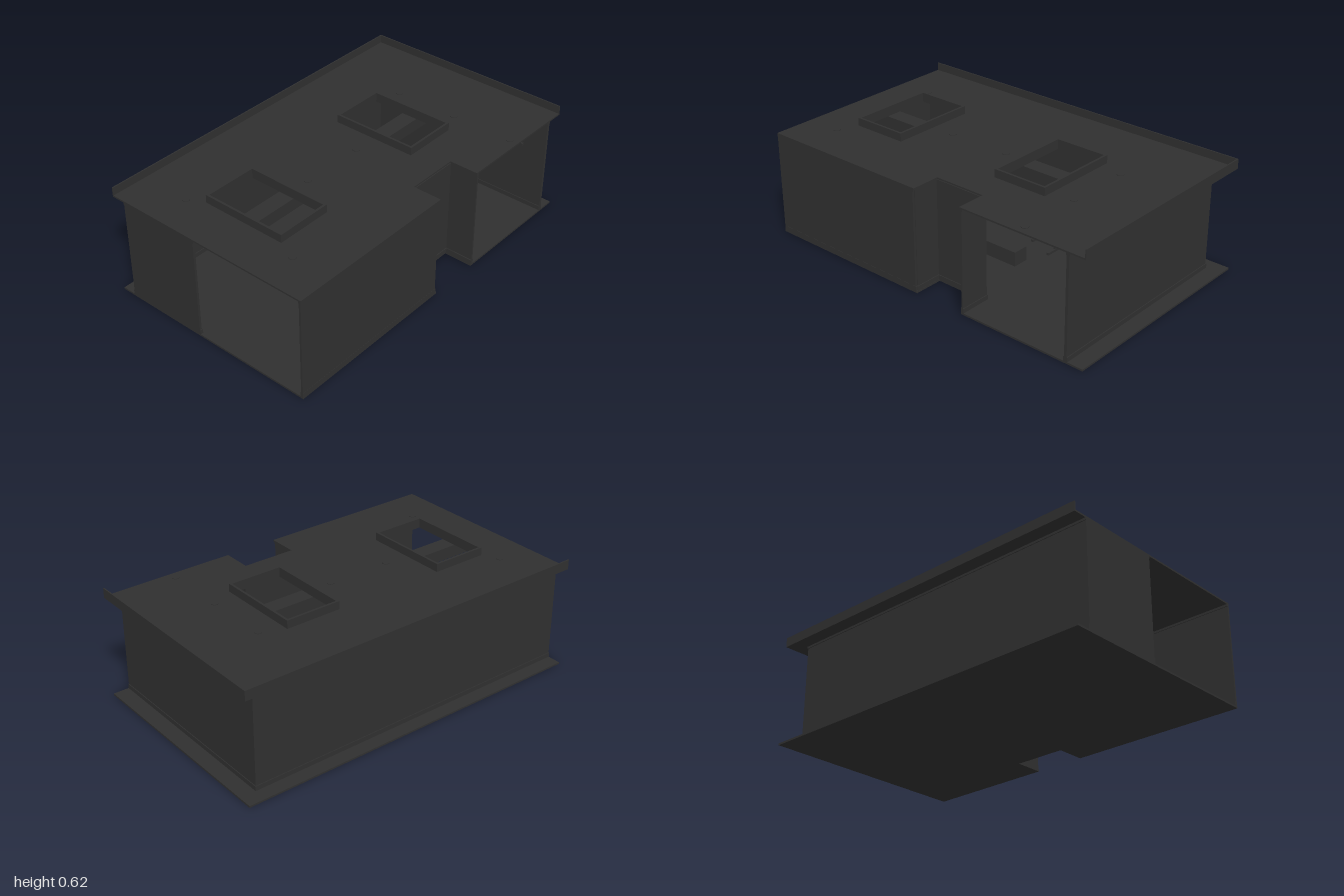
import * as THREE from 'three';

export function createModel() {
  const model = new THREE.Group();
  const charcoal = new THREE.MeshStandardMaterial({ color: 0x303030 });
  charcoal.name = 'charcoal';

  const add = (name, geometry, parent = model) => {
    const mesh = new THREE.Mesh(geometry, charcoal);
    mesh.name = name;
    parent.add(mesh);
    return mesh;
  };
  // Box given by its limits on each axis
  const block = (name, x0, x1, y0, y1, z0, z1, parent) => {
    const mesh = add(name, new THREE.BoxGeometry(x1 - x0, y1 - y0, z1 - z0), parent);
    mesh.position.set((x0 + x1) / 2, (y0 + y1) / 2, (z0 + z1) / 2);
    return mesh;
  };

  // Skylight openings, as x limits
  const skylights = [[-0.755, -0.445], [0.185, 0.495]];
  const Z0 = -0.22, Z1 = 0.26;

  // Slab with the entrance notch cut from its front edge
  const slab = (name, y, thickness, holes) => {
    const outline = [[-1, -0.6], [-0.02, -0.6], [-0.02, -0.44], [0.27, -0.44],
      [0.27, -0.6], [1, -0.6], [1, 0.6], [-1, 0.6]];
    const shape = new THREE.Shape(outline.map(p => new THREE.Vector2(...p)));
    for (const [a, b] of holes) {
      shape.holes.push(new THREE.Path([[a, -Z1], [a, -Z0], [b, -Z0], [b, -Z1]]
        .map(p => new THREE.Vector2(...p))));
    }
    const geometry = new THREE.ExtrudeGeometry(shape, { depth: thickness, bevelEnabled: false });
    geometry.rotateX(-Math.PI / 2);
    add(name, geometry).position.y = y;
  };
  slab('floor', 0, 0.01, []);
  slab('roof', 0.562, 0.009, skylights);

  // Walls, each with a base and a top rail standing slightly proud
  const wall = (name, x0, x1, z0, z1) => {
    const group = new THREE.Group();
    group.name = name;
    block(name + 'Panel', x0, x1, 0.01, 0.562, z0, z1, group);
    const e = 0.004;
    const limit = v => Math.min(v + e, 1);
    for (const [y0, y1] of [[0.01, 0.035], [0.55, 0.562]]) {
      block(name + 'Rail', Math.max(x0 - e, -1), limit(x1), y0, y1, z0 - e, Math.min(z1 + e, 0.6), group);
    }
    model.add(group);
  };
  wall('backWall', -1, 0.91, -0.522, -0.507);
  wall('leftWall', 0.895, 0.91, -0.507, 0.6);
  wall('rightWall', -1, -0.988, -0.507, -0.06);
  wall('frontWall', -1, -0.03, 0.588, 0.599);
  wall('entranceRightWall', -0.037, -0.025, 0.43, 0.588);
  wall('entranceBackWall', -0.025, 0.275, 0.43, 0.44);
  wall('entranceLeftWall', 0.275, 0.284, 0.43, 0.6);

  // Raised lip on the two overhanging roof edges
  block('backRoofLip', -1, 1, 0.568, 0.615, -0.6, -0.594);
  block('leftRoofLip', 0.994, 1, 0.568, 0.615, -0.594, 0.6);

  // Raised curbs around the skylights
  const t = 0.012;
  for (const [a, b] of skylights) {
    const curb = new THREE.Group();
    curb.name = 'skylightCurb';
    block('curbSide', a, a + t, 0.562, 0.615, Z0, Z1, curb);
    block('curbSide', b - t, b, 0.562, 0.615, Z0, Z1, curb);
    block('curbEnd', a + t, b - t, 0.562, 0.615, Z0, Z0 + t, curb);
    block('curbEnd', a + t, b - t, 0.562, 0.615, Z1 - t, Z1, curb);
    model.add(curb);
  }

  // Beam running under the roof, below both skylights
  block('ceilingBeam', -0.9, 0.75, 0.495, 0.562, -0.03, 0.06);

  // Low box on the floor behind the entrance
  block('floorBox', -0.1, 0.18, 0.01, 0.09, 0.01, 0.1);

  // Small round roof fittings
  const fittings = [[-0.8, -0.31], [-0.8, 0.37], [0.62, -0.16], [0.62, 0.2],
    [0.62, 0.55], [-0.31, 0.02], [0.05, 0.02]];
  for (const [x, z] of fittings) {
    add('roofFitting', new THREE.CylinderGeometry(0.019, 0.019, 0.004, 16)).position.set(x, 0.572, z);
  }

  // Hanging rods near the open front
  for (const [x, z] of [[0.62, 0.45], [0.75, 0.5]]) {
    block('hangingRod', x - 0.003, x + 0.003, 0.48, 0.562, z - 0.003, z + 0.003);
    block('rodArm', x - 0.006, x + 0.006, 0.475, 0.487, z - 0.05, z + 0.05);
  }
  return model;
}
